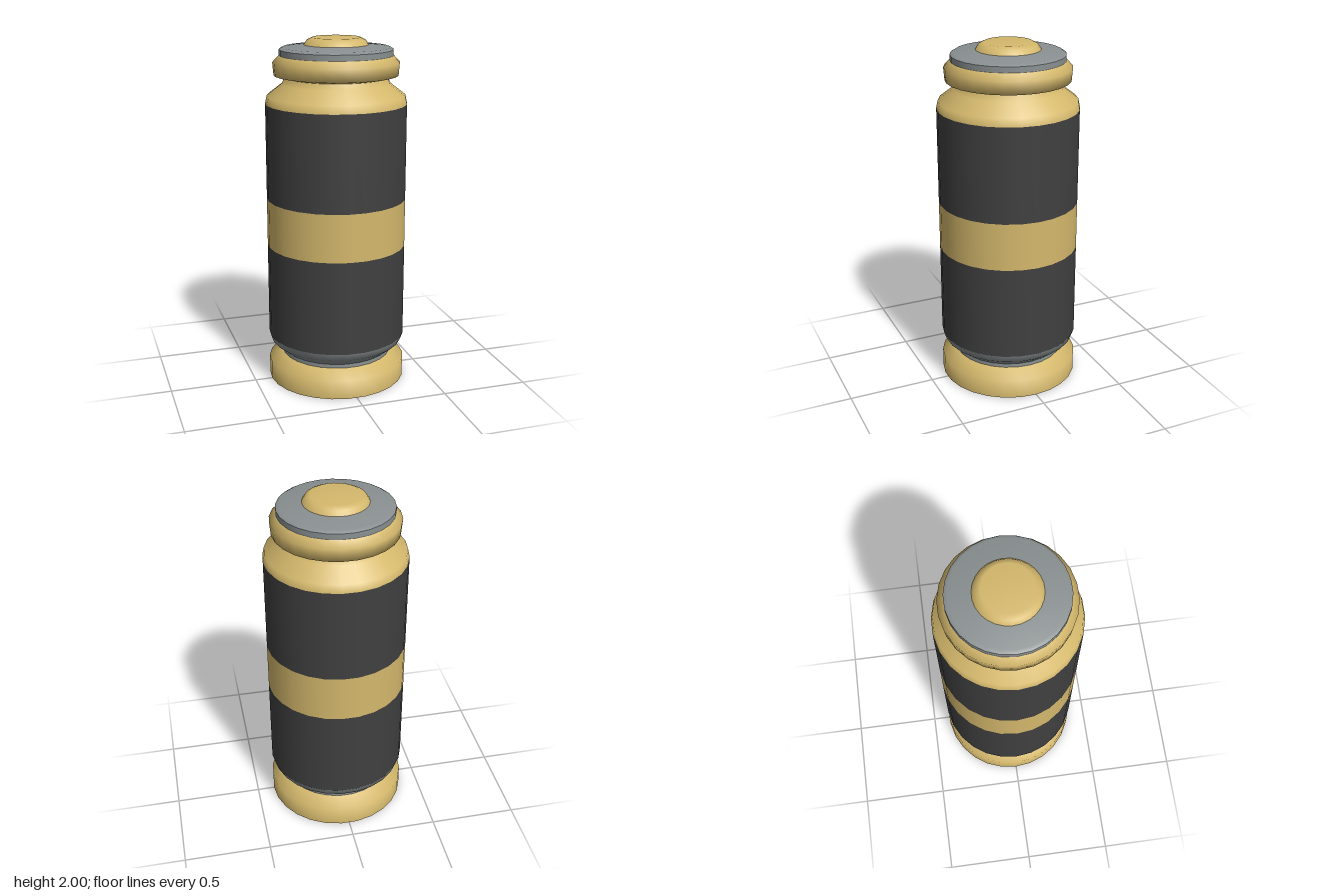
import * as THREE from 'three';

const SIDES = 26;

export function createModel() {
  const model = new THREE.Group();
  const paint = (name, color) => {
    const m = new THREE.MeshStandardMaterial({ color });
    m.name = name;
    return m;
  };
  const gold = paint('gold', 0xd4b86c);
  const black = paint('black', 0x404040);
  const silver = paint('silver', 0x8a9091);

  // Turned part from [radius, height] pairs, listed bottom to top
  const turned = (name, material, profile) => {
    const points = profile.map(([r, y]) => new THREE.Vector2(r, y));
    const mesh = new THREE.Mesh(new THREE.LatheGeometry(points, SIDES, Math.PI / 2), material);
    mesh.name = name;
    model.add(mesh);
  };

  // Base foot and its flat underside
  turned('baseUnderside', gold, [[0, 0], [0.4, 0]]);
  turned('base', gold, [[0.4, 0], [0.4, 0.11], [0.32, 0.155]]);
  turned('baseTop', gold, [[0.32, 0.155], [0.3, 0.157]]);

  // Silver neck flaring out to the body
  turned('lowerNeck', silver, [[0.32, 0.15], [0.32, 0.178]]);
  turned('lowerFlare', silver, [[0.32, 0.178], [0.385, 0.23], [0.4, 0.272]]);

  // Straight body with a central band
  turned('lowerGrip', black, [[0.4, 0.272], [0.4, 0.815]]);
  turned('middleBand', gold, [[0.4, 0.815], [0.4, 1.09]]);
  turned('upperGrip', black, [[0.4, 1.09], [0.4, 1.635]]);

  // Shoulder narrowing to the upper neck
  turned('shoulder', gold, [[0.4, 1.635], [0.39, 1.68], [0.305, 1.745], [0.29, 1.78]]);

  // Collar ring
  turned('collar', gold, [[0.29, 1.78], [0.35, 1.793], [0.356, 1.865], [0.32, 1.902]]);

  // Silver cap and top button
  turned('cap', silver, [[0.32, 1.9], [0.32, 1.935]]);
  turned('capTop', silver, [[0.32, 1.935], [0.3, 1.947], [0.18, 1.96]]);
  turned('button', gold, [[0.182, 1.958], [0.165, 1.985], [0.135, 2], [0, 2]]);

  return model;
}
